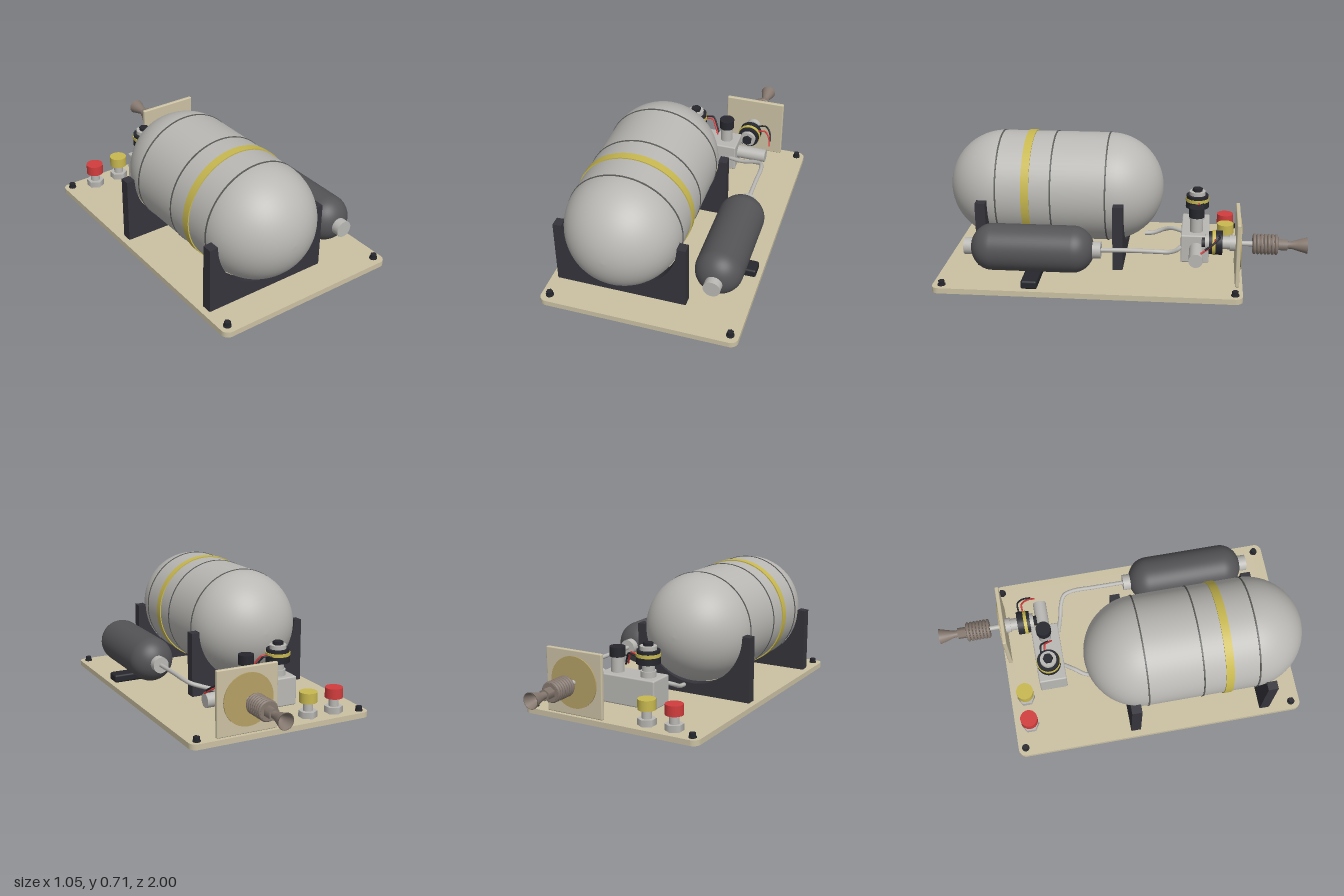
import * as THREE from 'three';
import { RoundedBoxGeometry } from 'three/addons/geometries/RoundedBoxGeometry.js';

const paint = (name, color) => {
  const m = new THREE.MeshStandardMaterial({ color });
  m.name = name;
  return m;
};

export function createModel() {
  const root = new THREE.Group();
  root.name = 'propulsionBench';

  const tan = paint('tan board', 0xcbc1a3);
  const frame = paint('dark frame', 0x35343b);
  const black = paint('black fittings', 0x26272d);
  const bottle = paint('dark grey bottle', 0x545457);
  const metal = paint('light grey metal', 0xb9b8b4);
  const seam = paint('seam grey', 0x5c5c5a);
  const yellow = paint('yellow', 0xc8b850);
  const red = paint('red', 0xd23c3c);
  const steel = paint('heated steel', 0x85786f);
  const ochre = paint('ochre disc', 0xb5a166);

  const add = (name, geo, mat, parent = root) => {
    const m = new THREE.Mesh(geo, mat);
    m.name = name;
    parent.add(m);
    return m;
  };
  const v = (p) => new THREE.Vector3(...p);

  // Cylinder from a to b along an axis; u, w are the other two coordinates in xyz order
  const rod = (name, mat, axis, a, b, u, w, r, sides = 32, parent = root) => {
    const g = new THREE.CylinderGeometry(r, r, b - a, sides);
    const mid = (a + b) / 2;
    if (axis === 'x') g.rotateZ(-Math.PI / 2).translate(mid, u, w);
    if (axis === 'y') g.translate(u, mid, w);
    if (axis === 'z') g.rotateX(Math.PI / 2).translate(u, w, mid);
    return add(name, g, mat, parent);
  };
  const box = (name, mat, x0, x1, y0, y1, z0, z1, r) =>
    add(name, new RoundedBoxGeometry(x1 - x0, y1 - y0, z1 - z0, 3, r)
      .translate((x0 + x1) / 2, (y0 + y1) / 2, (z0 + z1) / 2), mat);
  const tube = (name, mat, pts, r, parent = root) =>
    add(name, new THREE.TubeGeometry(
      new THREE.CatmullRomCurve3(pts.map(v), false, 'centripetal'), 40, r, 10), mat, parent);
  // Lathe along z at (x, y), profile given as [radius, z]
  const latheZ = (name, mat, pts, x, y, sides = 48) =>
    add(name, new THREE.LatheGeometry(pts.map((p) => new THREE.Vector2(...p)), sides)
      .rotateX(Math.PI / 2).translate(x, y, 0), mat);
  // Closed vessel with domed ends
  const vessel = (name, mat, x, y, r, dome, z0, z1) => {
    const pts = [];
    for (let i = 0; i <= 16; i++) {
      const a = (i / 16) * Math.PI / 2;
      pts.push([r * Math.sin(a), z0 + dome * (1 - Math.cos(a))]);
    }
    for (let i = 0; i <= 16; i++) {
      const a = (i / 16) * Math.PI / 2;
      pts.push([r * Math.cos(a), z1 - dome * (1 - Math.sin(a))]);
    }
    return latheZ(name, mat, pts, x, y, 64);
  };

  // Base board with rounded corners and bolt holes
  const corners = [[-0.48, -0.62], [0.48, -0.62], [-0.48, 0.925], [0.48, 0.925]];
  const [bx, bz0, bz1, br] = [0.525, -0.66, 0.975, 0.04];
  const board = new THREE.Shape();
  board.absarc(bx - br, -bz0 - br, br, 0, Math.PI / 2);
  board.absarc(-bx + br, -bz0 - br, br, Math.PI / 2, Math.PI);
  board.absarc(-bx + br, -bz1 + br, br, Math.PI, Math.PI * 1.5);
  board.absarc(bx - br, -bz1 + br, br, Math.PI * 1.5, Math.PI * 2);
  for (const [x, z] of corners) board.holes.push(new THREE.Path().absarc(x, -z, 0.011, 0, Math.PI * 2, true));
  add('baseBoard', new THREE.ExtrudeGeometry(board, { depth: 0.03, bevelEnabled: false, curveSegments: 10 })
    .rotateX(-Math.PI / 2), tan);
  for (const [x, z] of corners) {
    rod('boltWasher', black, 'y', 0.03, 0.036, x, z, 0.021, 20);
    rod('boltHead', black, 'y', 0.036, 0.056, x, z, 0.017, 6);
  }

  // Main tank, its seams and strap
  const [tx, ty, tr] = [-0.14, 0.395, 0.305];
  vessel('mainTank', metal, tx, ty, tr, tr, -0.215, 0.995);
  for (const z of [0.09, 0.39, 0.692]) rod('tankSeam', seam, 'z', z - 0.004, z + 0.004, tx, ty, tr + 0.003, 64);
  rod('tankStrap', yellow, 'z', 0.506, 0.55, tx, ty, tr + 0.006, 64);

  // Saddles with a round cradle
  const saddle = new THREE.Shape();
  saddle.moveTo(-0.49, 0.03);
  saddle.lineTo(0.21, 0.03);
  saddle.lineTo(0.21, 0.392);
  saddle.lineTo(tx + 0.304, 0.392);
  saddle.absarc(tx, ty, 0.304, 0, Math.PI, true);
  saddle.lineTo(-0.49, 0.392);
  for (const z of [-0.012, 0.738]) {
    add('tankSaddle', new THREE.ExtrudeGeometry(saddle, { depth: 0.056, bevelEnabled: false, curveSegments: 40 })
      .translate(0, 0, z), frame);
  }

  // Pressure bottle with end fittings and foot
  vessel('pressureBottle', bottle, 0.35, 0.205, 0.125, 0.115, 0.125, 0.785);
  rod('bottleRearFitting', metal, 'z', 0.09, 0.14, 0.35, 0.205, 0.045);
  rod('bottleFrontFitting', metal, 'z', 0.775, 0.82, 0.35, 0.205, 0.045);
  box('bottleFoot', black, 0.2, 0.5, 0.03, 0.077, 0.413, 0.5, 0.012);

  // Feed pipes into the manifold
  tube('bottlePipe', metal, [[0.35, 0.205, 0.1], [0.35, 0.208, -0.08], [0.35, 0.207, -0.21], [0.335, 0.2, -0.26],
    [0.29, 0.185, -0.285], [0.21, 0.16, -0.305], [0.13, 0.15, -0.33]], 0.012);
  tube('tankPipe', metal, [[-0.145, 0.11, -0.11], [-0.145, 0.115, -0.16], [-0.14, 0.14, -0.22],
    [-0.11, 0.16, -0.27], [-0.07, 0.16, -0.33]], 0.012);

  // Manifold block with side port and capped regulator
  box('manifoldBlock', metal, -0.175, 0.165, 0.07, 0.228, -0.48, -0.325, 0.008);
  rod('sidePort', metal, 'x', 0.16, 0.33, 0.15, -0.41, 0.038);
  rod('regulatorStem', metal, 'y', 0.225, 0.312, 0.09, -0.408, 0.035);
  rod('regulatorCap', black, 'y', 0.312, 0.365, 0.09, -0.408, 0.042);

  // Solenoid valve built upward along y
  const solenoid = (name) => {
    const g = new THREE.Group();
    g.name = name;
    const part = (n, mat, a, b, r, s) => rod(n, mat, 'y', a, b, 0, 0, r, s, g);
    part('valveCollar', metal, 0, 0.035, 0.042);
    part('valveStem', metal, 0.035, 0.075, 0.034);
    part('valveLowerCoil', black, 0.075, 0.112, 0.065);
    part('valveBand', yellow, 0.112, 0.13, 0.066);
    part('valveUpperCoil', black, 0.13, 0.147, 0.062);
    part('valveNeck', metal, 0.147, 0.168, 0.045);
    part('valveTip', black, 0.168, 0.186, 0.028, 6);
    root.add(g);
    return g;
  };
  solenoid('tankValve').position.set(-0.1, 0.225, -0.408);
  const thrustValve = solenoid('thrusterValve');
  thrustValve.rotation.x = Math.PI / 2;
  thrustValve.position.set(0.205, 0.21, -0.625);

  // Loose wire pairs
  [red, black].forEach((mat, i) => {
    const d = i * 0.022;
    tube('tankValveWire', mat, [[-0.05, 0.335, -0.42 - d], [0.0, 0.345, -0.415 - d],
      [0.025, 0.31, -0.395 - d], [0.045, 0.27, -0.375 - d]], 0.005);
    tube('thrusterValveWire', mat, [[0.25, 0.245 + d, -0.51 - d], [0.3, 0.25 + d, -0.51 - d],
      [0.33, 0.23 + d, -0.48 - d], [0.345, 0.2 + d, -0.435 - d]], 0.005);
  });

  // Thruster bulkhead and heat disc
  box('bulkhead', tan, 0.035, 0.38, 0.03, 0.38, -0.642, -0.62, 0.006);
  rod('heatDisc', ochre, 'z', -0.649, -0.641, 0.205, 0.21, 0.14, 48);

  // Thruster: feed rod, wound chamber, neck and open nozzle
  rod('thrusterFeed', metal, 'z', -0.72, -0.645, 0.205, 0.21, 0.014);
  rod('thrusterChamber', steel, 'z', -0.845, -0.71, 0.205, 0.21, 0.046);
  for (let i = 0; i < 7; i++) {
    add('chamberCoil', new THREE.TorusGeometry(0.047, 0.009, 8, 32)
      .translate(0.205, 0.21, -0.835 + i * 0.0192), steel);
  }
  rod('thrusterNeck', steel, 'z', -0.895, -0.845, 0.205, 0.21, 0.032, 6);
  latheZ('thrusterNozzle', steel, [[0.001, -0.91], [0.014, -0.915], [0.026, -0.95], [0.04, -1],
    [0.044, -1], [0.03, -0.95], [0.02, -0.915], [0.02, -0.89]], 0.205, 0.21, 32);

  // Service fittings with coloured caps
  for (const [x, mat, name] of [[-0.35, red, 'redCap'], [-0.19, yellow, 'yellowCap']]) {
    rod('fittingNut', metal, 'y', 0.03, 0.065, x, -0.572, 0.05, 6);
    rod('fittingStem', metal, 'y', 0.065, 0.115, x, -0.572, 0.026);
    rod(name, mat, 'y', 0.112, 0.168, x, -0.572, 0.048, 20);
  }
  return root;
}
